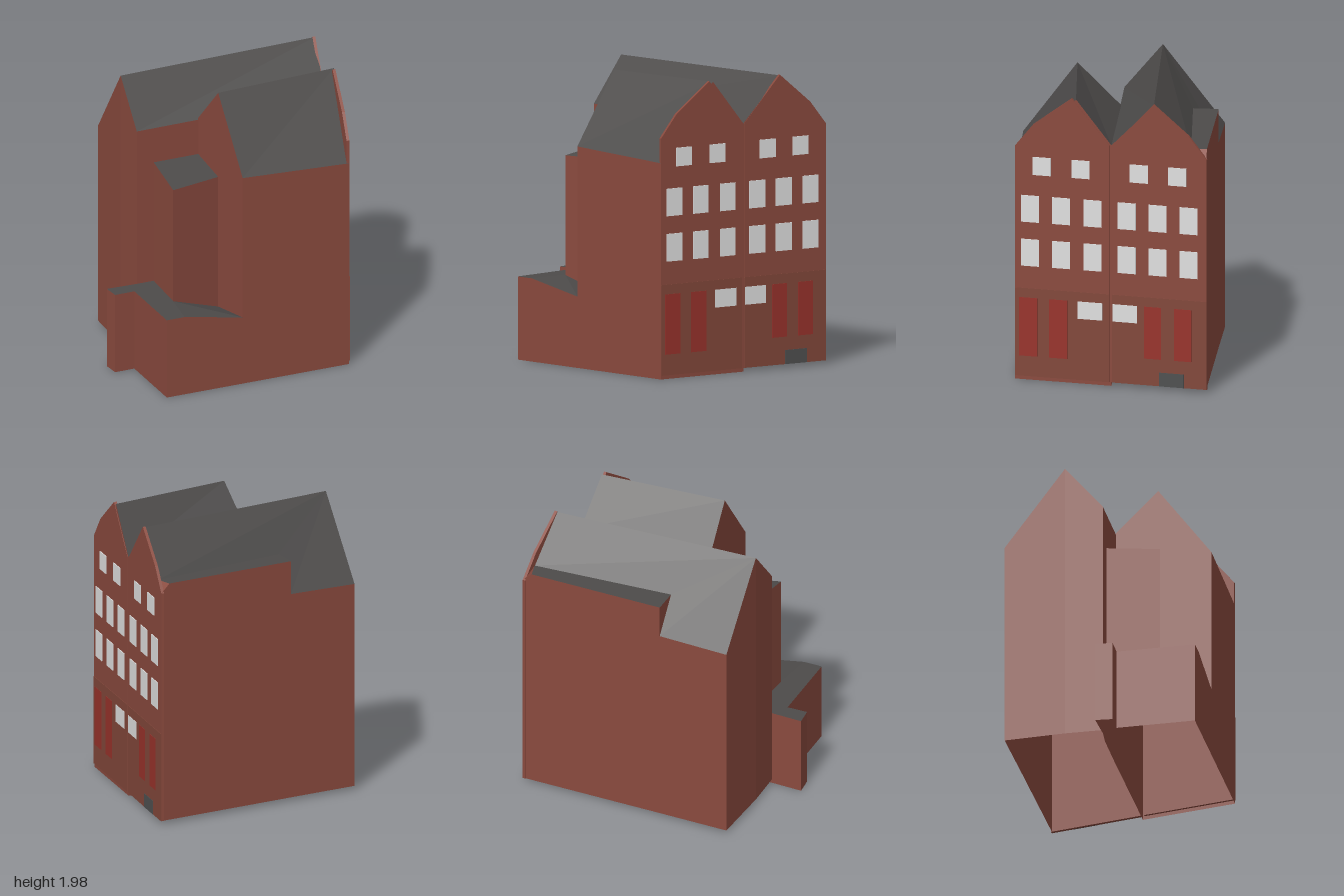
import * as THREE from 'three';

const mat = (name, color, side = THREE.FrontSide) => {
  const m = new THREE.MeshStandardMaterial({ color, side });
  m.name = name;
  return m;
};

export function createModel() {
  const brick = mat('brick', 0x8a4a3e, THREE.DoubleSide);
  const shop = mat('shopfront brick', 0x82473a);
  const slate = mat('slate', 0x4d4b4a, THREE.DoubleSide);
  const glass = mat('pale glass', 0xe0e0e0);
  const red = mat('red door', 0x98322b);
  const iron = mat('iron grate', 0x4f5050);
  const model = new THREE.Group();

  // Flat polygons, each fanned from its first corner; corners are [x, z, y]
  function faces(name, material, polys) {
    const pos = [];
    for (const p of polys)
      for (let i = 1; i < p.length - 1; i++)
        for (const [x, z, y] of [p[0], p[i], p[i + 1]]) pos.push(x, y, z);
    const g = new THREE.BufferGeometry();
    g.setAttribute('position', new THREE.Float32BufferAttribute(pos, 3));
    g.computeVertexNormals();
    const mesh = new THREE.Mesh(g, material);
    mesh.name = name;
    model.add(mesh);
  }

  // Hollow walls round a plan outline, a top height per corner; some edges stay open
  function walls(name, pts, base, open = []) {
    const polys = [];
    pts.forEach((p, i) => {
      const q = pts[(i + 1) % pts.length];
      if (!open.includes(i)) polys.push([[p[0], p[1], base], [q[0], q[1], base], q, p]);
    });
    faces(name, brick, polys);
  }

  // Front house: gabled block, its back gable standing over the low annex
  const a0 = [-0.49, 0.53, 1.49], a1 = [0.225, 0.845, 1.455], a2 = [0.465, 0.5, 1.97];
  const a3 = [0.605, 0.3, 1.67], a4 = [-0.25, -0.08, 1.67], a5 = [-0.355, 0.195, 1.97];
  walls('frontHouseWalls', [a0, a1, a2, a3, a4, a5], 0, [4, 5]);
  walls('frontHouseBackGable', [a4, a5, a0], 0.42, [2]);
  faces('frontHouseRoof', slate, [[a0, a1, a2, a5], [a5, a2, a3, a4]]);

  // Rear house: gabled block whose outer wall is raised beside a flat roof
  const b0 = [-0.67, -0.25, 1.665], b1 = a3, b2 = [0.775, 0.06, 1.97];
  const b3 = [0.91, -0.155, 1.68], corner = [0.985, -0.235, 1.62], b4 = [0.93, -0.26, 1.68];
  const b5 = [0.075, -0.65, 1.68], b5low = [0.075, -0.65, 1.45];
  const b6 = [-0.37, -0.855, 1.44], b7 = [-0.565, -0.485, 1.97];
  const notch = [0, -0.495, 1.68];
  walls('rearHouseWalls', [b0, b1, b2, corner, b4, b5, b5low, b6, b7], 0.025);
  faces('raisedWallCheek', brick, [[notch, b5low, b5]]);
  faces('gableReturn', brick, [[b3, b2, corner], [b3, corner, b4]]);
  faces('rearHouseRoof', slate,
    [[b0, b1, b2, b7], [b7, b2, b3, notch], [b7, notch, b5low, b6], [notch, b3, b4, b5]]);

  // Tall stair annex between the houses
  const c0 = [-0.73, 0.125, 1.365], c1 = [-0.355, 0.195, 1.36];
  const c2 = [-0.25, -0.08, 1.42], c3 = [-0.55, -0.21, 1.42];
  walls('tallAnnexWalls', [c0, c1, c2, c3], 0.42);
  faces('tallAnnexRoof', slate, [[c0, c1, c2, c3]]);

  // Low yard building with a sloping corner and a small spur
  const h = 0.56;
  const d0 = [-1, 0.305, h], d1 = [-0.88, 0.358, h], d2 = [-0.49, 0.53, 0.48];
  const d3 = [-0.355, 0.195, 0.42], d4 = [-0.55, -0.21, h], d5 = [-0.67, -0.25, h];
  const d6 = [-0.865, -0.345, h], d7 = [-0.905, -0.235, h], d8 = [-0.775, -0.18, h];
  const inner = [-0.73, 0.125, h], party = [-0.25, -0.08, h];
  walls('lowAnnexWalls', [d0, d1, d2, party, d4, d5, d6, d7, d8], 0, [2]);
  faces('lowAnnexRoof', slate,
    [[d0, d1, inner, d8], [inner, d4, d8], [inner, d1, d2, d3], [d7, d8, d4, d5, d6]]);

  // Street facade standing between two plan points; s runs along it
  function facade(name, [x0, z0], [x1, z1], gable, rows) {
    const g = new THREE.Group();
    g.name = name;
    const w = Math.hypot(x1 - x0, z1 - z0), k = w / (z0 - z1);
    g.position.set(x0, 0, z0);
    g.rotation.y = Math.atan2(z0 - z1, x1 - x0);
    const plate = (part, pts, depth, z, material) => {
      const shape = new THREE.Shape(pts.map(([s, y]) => new THREE.Vector2(s, y)));
      const m = new THREE.Mesh(
        new THREE.ExtrudeGeometry(shape, { depth, bevelEnabled: false }), material);
      m.name = part;
      m.position.z = z;
      g.add(m);
    };
    plate('gableWall', [[0, 0.025], [w, 0.025], ...gable(w)], 0.02, -0.017, brick);
    plate('shopfront', [[0, 0.025], [w, 0.025], [w, 0.635], [0, 0.635]], 0.003, 0.003, shop);
    // Openings: each row lists the z of its left edges
    for (const [part, material, lefts, width, y0, y1] of rows)
      for (const z of lefts) {
        const s = (z0 - z) * k, e = Math.min(s + width * k, w);
        plate(part, [[s, y0], [e, y0], [e, y1], [s, y1]], 0.006, 0.0025, material);
      }
    model.add(g);
  }

  facade('frontHouseFacade', [0.225, 0.845], [0.597, 0.3115],
    (w) => [[w, 1.67], [0.39, 1.975], [0.125, 1.775], [0, 1.62]], [
      ['atticWindow', glass, [0.745, 0.525], 0.103, 1.425, 1.55],
      ['upperWindow', glass, [0.81, 0.635, 0.457], 0.102, 1.095, 1.28],
      ['middleWindow', glass, [0.81, 0.635, 0.457], 0.102, 0.79, 0.976],
      ['shopWindow', glass, [0.49], 0.14, 0.45, 0.57],
      ['door', red, [0.82, 0.65], 0.102, 0.165, 0.57],
    ]);
  facade('rearHouseFacade', [0.609, 0.2945], [0.987, -0.238],
    (w) => [[w, 1.62], [w - 0.125, 1.775], [0.285, 1.975], [0, 1.67]], [
      ['atticWindow', glass, [0.195, -0.02], 0.103, 1.425, 1.55],
      ['upperWindow', glass, [0.263, 0.09, -0.085], 0.102, 1.095, 1.28],
      ['middleWindow', glass, [0.263, 0.09, -0.085], 0.102, 0.79, 0.976],
      ['shopWindow', glass, [0.293], 0.138, 0.45, 0.57],
      ['door', red, [0.115, -0.055], 0.097, 0.21, 0.57],
      ['cellarGrate', iron, [0.03], 0.14, 0.025, 0.12],
    ]);

  return model;
}
